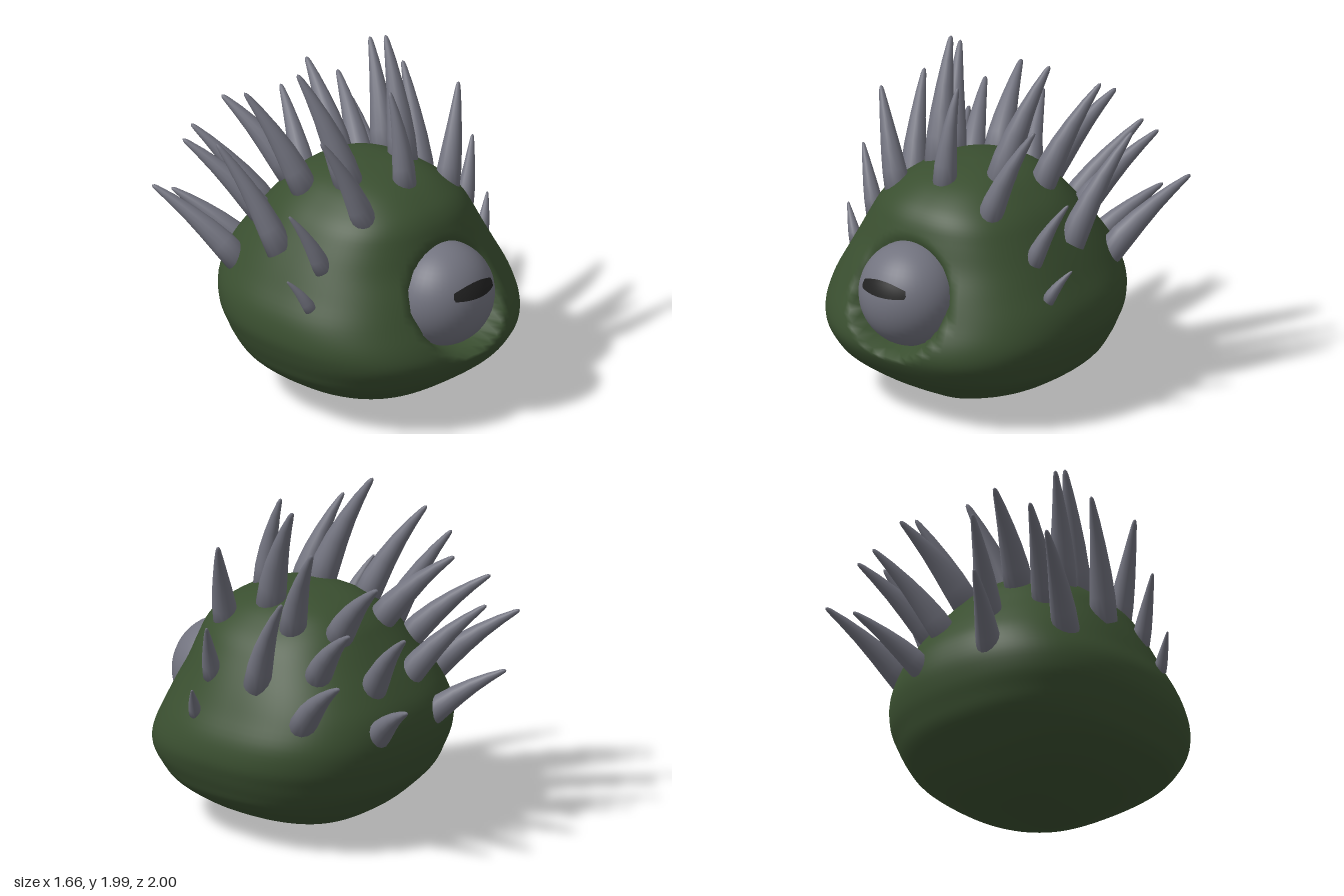
import * as THREE from 'three';
import { mergeVertices } from 'three/addons/utils/BufferGeometryUtils.js';

const green = new THREE.MeshStandardMaterial({ color: 0x3a4f30 });
green.name = 'mossGreen';
const grey = new THREE.MeshStandardMaterial({ color: 0x72737f });
grey.name = 'slateGrey';
const dark = new THREE.MeshStandardMaterial({ color: 0x222222 });
dark.name = 'pupilBlack';

const EYE = new THREE.Vector3(0, 0.75, 0.71);
const EYE_R = new THREE.Vector3(0.305, 0.305, 0.29);

// Body cross-sections from bottom to top: height, half width, back z, front z
const SECTIONS = [
  [0, 0, 0.16, 0.16], [0.03, 0.2, -0.1, 0.4], [0.08, 0.36, -0.26, 0.52],
  [0.16, 0.54, -0.4, 0.67], [0.27, 0.69, -0.52, 0.83], [0.36, 0.745, -0.6, 0.91],
  [0.45, 0.785, -0.64, 0.95], [0.55, 0.81, -0.675, 0.93], [0.68, 0.79, -0.69, 0.87],
  [0.82, 0.72, -0.66, 0.81], [0.95, 0.65, -0.58, 0.745], [1.08, 0.57, -0.48, 0.7],
  [1.18, 0.5, -0.4, 0.66], [1.26, 0.415, -0.33, 0.59], [1.34, 0.3, -0.22, 0.46],
  [1.385, 0.17, -0.06, 0.3], [1.4, 0, 0.1, 0.1],
];

// Spikes: base point, tip point, base radius (those off the middle are mirrored)
const SPIKES = [
  [[0, 1.36, 0.4], [0, 1.88, 0.29], 0.07],
  [[0.35, 1.23, 0.41], [0.57, 1.75, 0.29], 0.075],
  [[0.23, 1.36, 0.17], [0.365, 1.99, -0.09], 0.088],
  [[0.34, 1.29, -0.08], [0.52, 1.84, -0.36], 0.08],
  [[0.6, 1.02, -0.03], [0.77, 1.61, -0.34], 0.08],
  [[0.6, 1.0, 0.31], [0.76, 1.33, 0.22], 0.055],
  [[0.73, 0.8, 0.33], [0.83, 0.96, 0.27], 0.038],
  [[0.2, 1.25, -0.31], [0.35, 1.66, -0.7], 0.085],
  [[0.42, 1.07, -0.33], [0.64, 1.47, -0.73], 0.08],
  [[0.17, 0.96, -0.53], [0.37, 1.41, -0.92], 0.08],
  [[0.6, 0.84, -0.37], [0.82, 1.22, -0.8], 0.08],
  [[0.25, 0.72, -0.63], [0.45, 1.01, -1.0], 0.075],
];

// Weld seams and give smooth normals
function smooth(geometry) {
  geometry.deleteAttribute('uv');
  geometry.deleteAttribute('normal');
  const welded = mergeVertices(geometry, 1e-5);
  welded.computeVertexNormals();
  return welded;
}

// Squarish sections skinned over a sphere grid, with a socket pressed in for the eye
function bodyGeometry() {
  const spline = (f) => new THREE.CatmullRomCurve3(
    SECTIONS.map(f), false, 'catmullrom', 0.5);
  const sides = spline(([y, w, back]) => new THREE.Vector3(w, y, back));
  const fronts = spline(([, , , front]) => new THREE.Vector3(front, 0, 0));
  const geometry = new THREE.SphereGeometry(1, 96, 64);
  const pos = geometry.attributes.position;
  const uv = geometry.attributes.uv;
  const n = 2.4;
  for (let i = 0; i < pos.count; i++) {
    const t = THREE.MathUtils.clamp(uv.getY(i), 0, 1);
    const side = sides.getPoint(t);
    const front = fronts.getPoint(t).x;
    const a = Math.atan2(pos.getZ(i), pos.getX(i));
    const c = Math.cos(a), s = Math.sin(a);
    const r = (Math.abs(c) ** n + Math.abs(s) ** n) ** (-1 / n);
    const x = side.x * c * r;
    let z = (front + side.z) / 2 + (front - side.z) / 2 * s * r;
    if (z > 0.3) {
      const k = THREE.MathUtils.smoothstep(Math.hypot(x, side.y - 0.76), 0.27, 0.34);
      z = THREE.MathUtils.lerp(Math.min(z, 0.68), z, k);
    }
    pos.setXYZ(i, x, side.y, z);
  }
  return smooth(geometry);
}

// Round-tipped cone, bowed slightly upward
function spikeGeometry(base, tip, radius) {
  const dir = tip.clone().sub(base).normalize();
  const start = base.clone().addScaledVector(dir, -0.04);
  const length = start.distanceTo(tip);
  const profile = [[0, 0], [1, 0], [0.93, 0.2], [0.77, 0.4], [0.57, 0.6], [0.37, 0.8],
    [0.2, 0.95], [0.13, 0.985], [0, 1]]
    .map(([r, t]) => new THREE.Vector2(r * radius, t * length));
  const geometry = new THREE.LatheGeometry(profile, 14);
  const turn = new THREE.Quaternion().setFromUnitVectors(new THREE.Vector3(0, 1, 0), dir);
  const bow = new THREE.Vector3(0, 1, 0.3).addScaledVector(dir, -(dir.y + 0.3 * dir.z))
    .normalize().multiplyScalar(0.04 * length);
  const pos = geometry.attributes.position;
  const v = new THREE.Vector3();
  for (let i = 0; i < pos.count; i++) {
    v.fromBufferAttribute(pos, i);
    const t = v.y / length;
    v.applyQuaternion(turn).add(start).addScaledVector(bow, 4 * t * (1 - t));
    pos.setXYZ(i, v.x, v.y, v.z);
  }
  return smooth(geometry);
}

// Thin patch lying on the eye: flat below, arched above
function pupilGeometry() {
  const geometry = new THREE.PlaneGeometry(2, 1, 20, 5);
  const pos = geometry.attributes.position;
  for (let i = 0; i < pos.count; i++) {
    const u = pos.getX(i), v = pos.getY(i) + 0.5;
    const x = u * (0.16 - 0.015 * Math.abs(v - 0.4));
    const y = 0.812 + 0.008 * u * u + v * (0.09 - 0.042 * u * u);
    const q = 1 - (x / EYE_R.x) ** 2 - ((y - EYE.y) / EYE_R.y) ** 2;
    pos.setXYZ(i, x, y, EYE.z + EYE_R.z * Math.sqrt(q) + 0.005);
  }
  geometry.computeVertexNormals();
  return geometry;
}

export function createModel() {
  const model = new THREE.Group();
  model.name = 'spikyCreature';
  const add = (parent, name, geometry, material) => {
    const mesh = new THREE.Mesh(geometry, material);
    mesh.name = name;
    parent.add(mesh);
    return mesh;
  };

  add(model, 'body', bodyGeometry(), green);

  const eye = add(model, 'eye', new THREE.SphereGeometry(1, 40, 28), grey);
  eye.position.copy(EYE);
  eye.scale.copy(EYE_R);
  add(model, 'pupil', pupilGeometry(), dark);

  // Spikes on both sides
  const spikes = new THREE.Group();
  spikes.name = 'spikes';
  model.add(spikes);
  for (const [b, t, radius] of SPIKES) {
    for (const side of b[0] === 0 ? [1] : [1, -1]) {
      const base = new THREE.Vector3(b[0] * side, b[1], b[2]);
      const tip = new THREE.Vector3(t[0] * side, t[1], t[2]);
      const name = b[0] === 0 ? 'middleSpike' : side > 0 ? 'leftSpike' : 'rightSpike';
      add(spikes, name, spikeGeometry(base, tip, radius), grey);
    }
  }
  return model;
}
